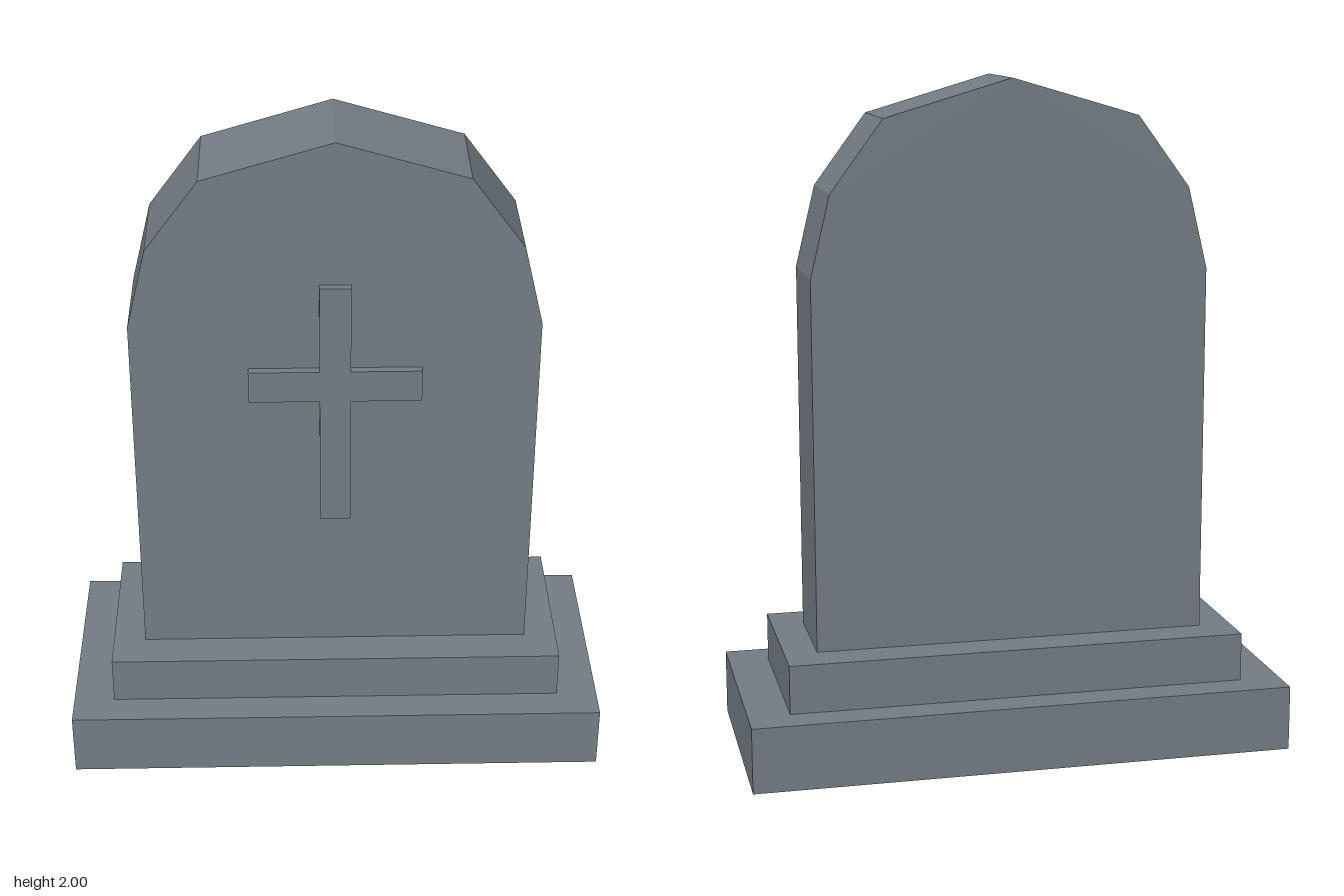
import * as THREE from 'three';

const stone = new THREE.MeshStandardMaterial({ color: 0x737d84 });
stone.name = 'grey stone';

function addPart(group, name, geometry, y = 0, z = 0) {
  const mesh = new THREE.Mesh(geometry, stone);
  mesh.name = name;
  mesh.position.set(0, y, z);
  group.add(mesh);
}

// Extrudes an outline given by its +x half, listed from bottom to top and mirrored to -x.
function mirroredExtrude(half, depth) {
  const mirrored = half.filter(([x]) => x > 0).reverse().map(([x, y]) => [-x, y]);
  const points = [...half, ...mirrored].map(([x, y]) => new THREE.Vector2(x, y));
  return new THREE.ExtrudeGeometry(new THREE.Shape(points), { depth, bevelEnabled: false });
}

export function createModel() {
  const group = new THREE.Group();
  group.name = 'gravestone';

  // Stepped base
  addPart(group, 'plinth', new THREE.BoxGeometry(1.615, 0.195, 0.725), 0.0975);
  addPart(group, 'step', new THREE.BoxGeometry(1.37, 0.145, 0.53), 0.2675);

  // Upright slab with a faceted arched top
  const slab = [[0.588, 0.34], [0.588, 1.44], [0.53, 1.68], [0.375, 1.89], [0, 2]];
  addPart(group, 'headstone', mirroredExtrude(slab, 0.306), 0, -0.153);

  // Raised cross on the front face
  const cross = [[0.045, 0.8], [0.045, 1.205], [0.25, 1.205], [0.25, 1.303], [0.045, 1.303], [0.045, 1.57]];
  addPart(group, 'cross', mirroredExtrude(cross, 0.026), 0, 0.152);

  return group;
}
